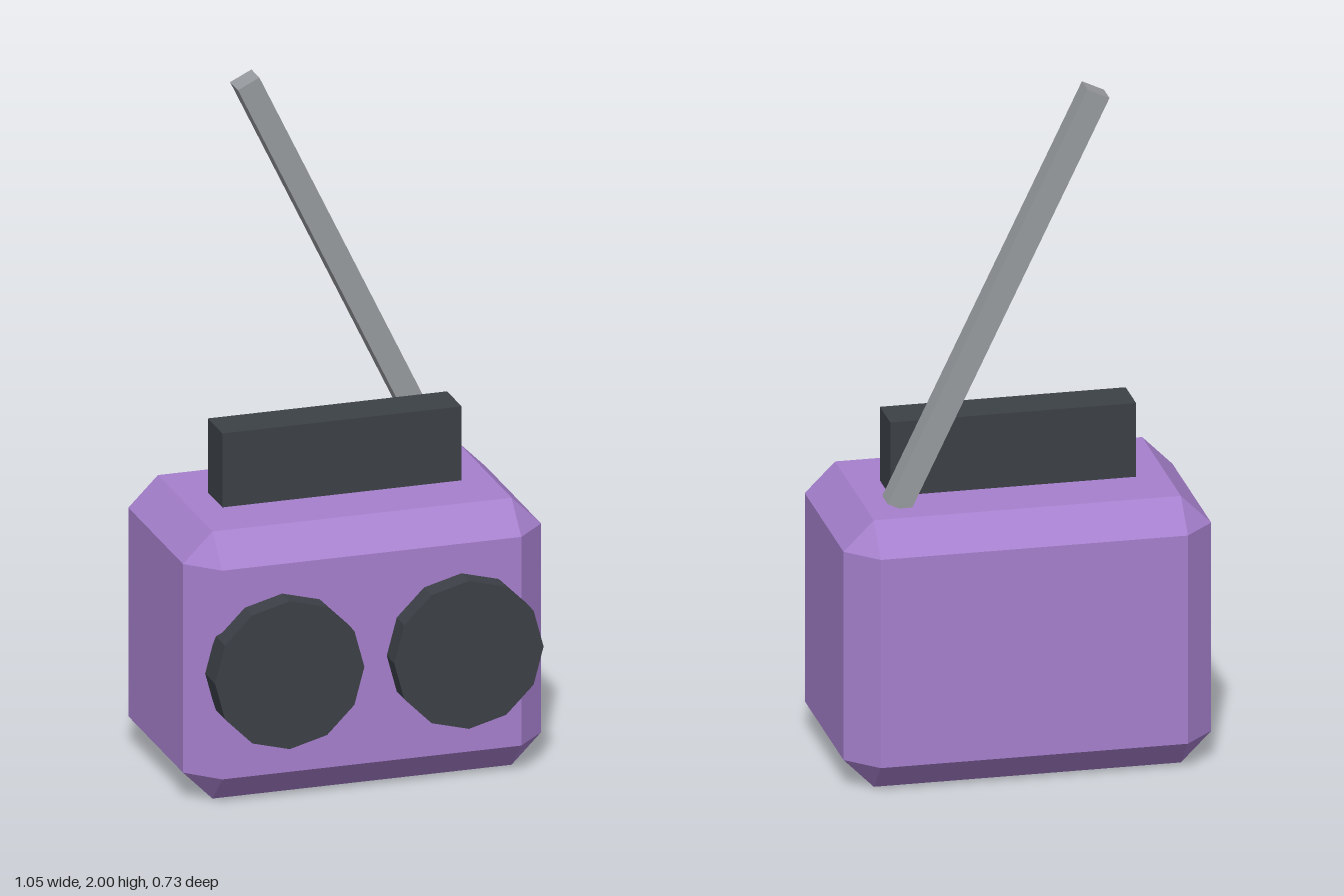
import * as THREE from 'three';
import { ConvexGeometry } from 'three/addons/geometries/ConvexGeometry.js';

const material = (name, color) => {
  const m = new THREE.MeshStandardMaterial({ color });
  m.name = name;
  return m;
};

// Box with flat chamfered edges and triangular corners
function chamferedBox(w, h, d, b) {
  const points = [];
  for (const sx of [-1, 1]) for (const sy of [-1, 1]) for (const sz of [-1, 1]) {
    const x = w / 2, y = h / 2, z = d / 2;
    points.push(
      new THREE.Vector3(sx * x, sy * (y - b), sz * (z - b)),
      new THREE.Vector3(sx * (x - b), sy * y, sz * (z - b)),
      new THREE.Vector3(sx * (x - b), sy * (y - b), sz * z));
  }
  return new ConvexGeometry(points);
}

export function createModel() {
  const model = new THREE.Group();
  model.name = 'radio';
  const purple = material('purple casing', 0xa680cd);
  const dark = material('dark plastic', 0x3c4147);
  const grey = material('grey metal', 0x989b9f);
  dark.flatShading = true;

  const add = (name, geometry, mat, x, y, z) => {
    const mesh = new THREE.Mesh(geometry, mat);
    mesh.name = name;
    mesh.position.set(x, y, z);
    model.add(mesh);
    return mesh;
  };

  // Casing
  add('body', chamferedBox(1.055, 0.795, 0.66, 0.087), purple, 0, 0.3975, -0.035);

  // Carrying handle on top
  add('handle', new THREE.BoxGeometry(0.705, 0.22, 0.13), dark, 0, 0.905, -0.035);

  // Twelve-sided speakers on the front
  for (const [name, side] of [['leftSpeaker', 1], ['rightSpeaker', -1]]) {
    const geometry = new THREE.CylinderGeometry(0.22, 0.22, 0.088, 12).rotateX(Math.PI / 2);
    add(name, geometry, dark, side * 0.264, 0.4, 0.318);
  }

  // Slanted square antenna behind the handle
  const antenna = add('antenna', new THREE.BoxGeometry(0.07, 1.32, 0.07), grey, 0.065, 1.39, -0.167);
  antenna.rotation.z = 0.449;

  return model;
}
